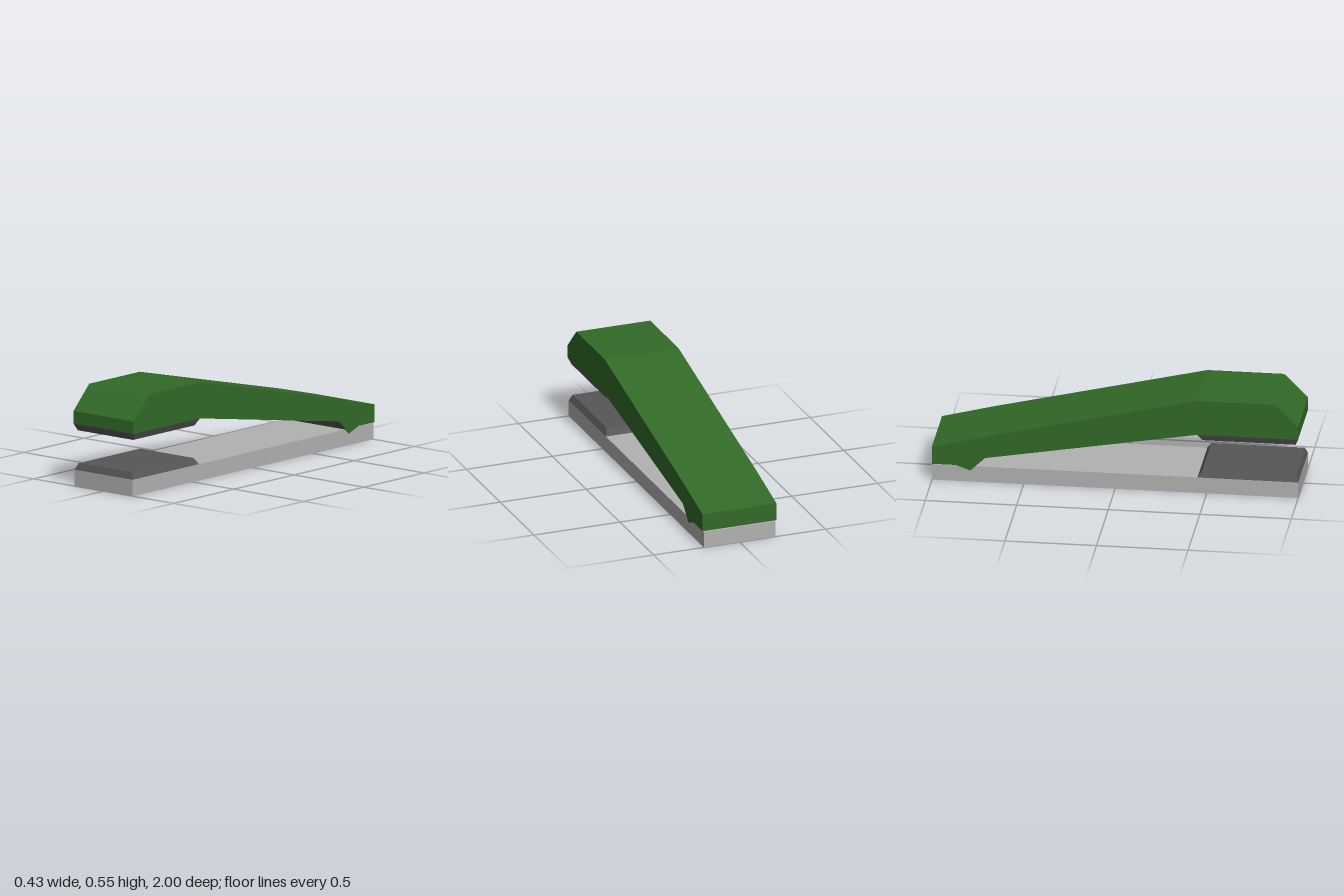
import * as THREE from 'three';

const material = (name, color) => {
  const m = new THREE.MeshStandardMaterial({ color });
  m.name = name;
  return m;
};

// Block whose far face (top or bottom) is pulled inwards to form bevelled edges
function bevelledPad(name, halfWidth, zBack, zFront, yBase, yTip, mat) {
  const g = new THREE.BoxGeometry(1, 1, 1).toNonIndexed();
  const p = g.attributes.position;
  const low = Math.min(yBase, yTip), high = Math.max(yBase, yTip);
  for (let i = 0; i < p.count; i++) {
    const y = p.getY(i) > 0 ? high : low;
    const tip = y === yTip;
    const x = Math.sign(p.getX(i)) * (halfWidth - (tip ? 0.017 : 0));
    const z = p.getZ(i) > 0 ? zFront - (tip ? 0.015 : 0) : zBack + (tip ? 0.025 : 0);
    p.setXYZ(i, x, y, z);
  }
  g.computeVertexNormals();
  const mesh = new THREE.Mesh(g, mat);
  mesh.name = name;
  return mesh;
}

export function createModel() {
  const green = material('green shell', 0x326a27);
  const dark = material('dark grey', 0x575757);
  const metal = material('light grey', 0xb2b2b2);
  const group = new THREE.Group();
  group.name = 'clip';

  // Upper arm: side profile (z, y) extruded across the width
  const profile = [
    [1, 0.345], [1, 0.415], [0.87, 0.545], [0.45, 0.545], [-0.71, 0.27],
    [-1, 0.195], [-1, 0.096], [-0.87, 0.096], [-0.79, 0.067], [-0.71, 0.145], [0.45, 0.345],
  ];
  const width = 0.43;
  const arm = new THREE.ExtrudeGeometry(
    new THREE.Shape(profile.map(([z, y]) => new THREE.Vector2(z, y))),
    { depth: width, bevelEnabled: false },
  );
  arm.translate(0, 0, -width / 2);
  arm.rotateY(-Math.PI / 2);

  // Downward-facing faces are the dark underside, the rest is green
  arm.clearGroups();
  const n = arm.attributes.normal;
  for (let i = 0; i < n.count; i += 3) arm.addGroup(i, 3, n.getY(i) < -0.05 ? 1 : 0);
  const armMesh = new THREE.Mesh(arm, [green, dark]);
  armMesh.name = 'upperArm';
  group.add(armMesh);

  // Flat base bar
  const base = new THREE.Mesh(new THREE.BoxGeometry(0.416, 0.091, 2), metal);
  base.position.y = 0.0455;
  base.name = 'baseBar';
  group.add(base);

  // Facing grip pads
  group.add(bevelledPad('upperPad', 0.215, 0.45, 1, 0.345, 0.308, dark));
  group.add(bevelledPad('lowerPad', 0.208, 0.45, 1, 0.091, 0.127, dark));

  return group;
}
